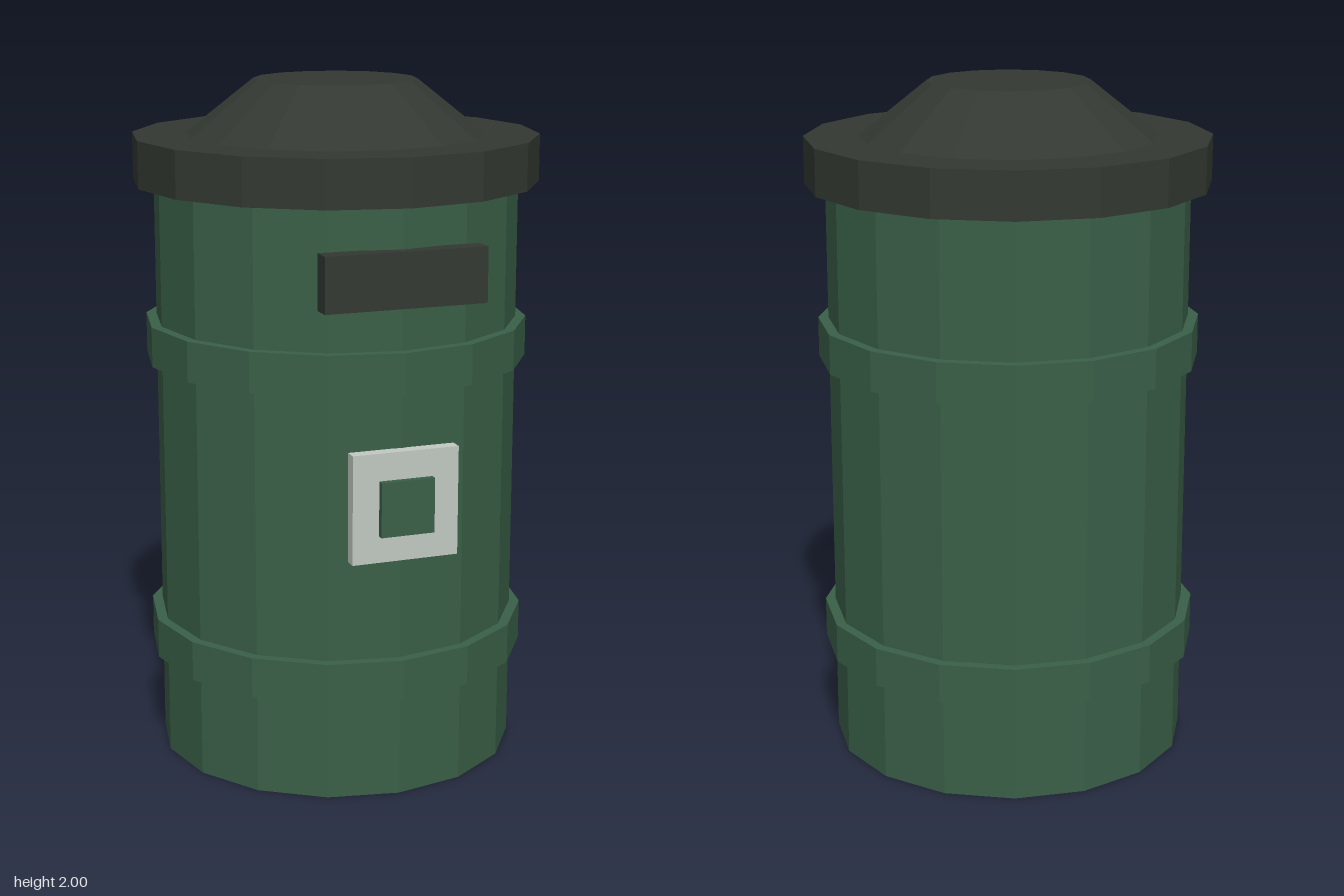
import * as THREE from 'three';

const SIDES = 16;

export function createModel() {
  const model = new THREE.Group();
  model.name = 'postBox';

  const paint = (name, color) => {
    const m = new THREE.MeshStandardMaterial({ color });
    m.name = name;
    return m;
  };
  const green = paint('green', 0x3a6048);
  const charcoal = paint('charcoal', 0x333932);
  const paleGrey = paint('paleGrey', 0xc2cac2);

  // Faceted drum between two heights; non-indexed so every side stays flat
  const drum = (name, material, y0, y1, rBottom, rTop = rBottom) => {
    const geo = new THREE.CylinderGeometry(rTop, rBottom, y1 - y0, SIDES).toNonIndexed();
    geo.computeVertexNormals();
    const mesh = new THREE.Mesh(geo, material);
    mesh.name = name;
    mesh.position.y = (y0 + y1) / 2;
    model.add(mesh);
  };

  // Box centred on x, given by its height range and depth range
  const block = (name, material, width, y0, y1, z0, z1) => {
    const mesh = new THREE.Mesh(new THREE.BoxGeometry(width, y1 - y0, z1 - z0), material);
    mesh.name = name;
    mesh.position.set(0, (y0 + y1) / 2, (z0 + z1) / 2);
    model.add(mesh);
  };

  // Body and raised bands
  drum('body', green, 0, 1.75, 0.532);
  drum('lowerBand', green, 0.3, 0.417, 0.562);
  drum('upperBand', green, 1.19, 1.307, 0.562);

  // Overhanging cap and sloped crown
  drum('capRim', charcoal, 1.707, 1.843, 0.592);
  drum('capCrown', charcoal, 1.843, 2, 0.435, 0.237);

  // Letter slot
  block('slot', charcoal, 0.474, 1.43, 1.587, 0.506, 0.565);

  // Notice plate with a raised centre
  block('noticePlate', paleGrey, 0.314, 0.718, 1.032, 0.528, 0.566);
  block('noticeCentre', green, 0.158, 0.795, 0.953, 0.55, 0.585);

  return model;
}
